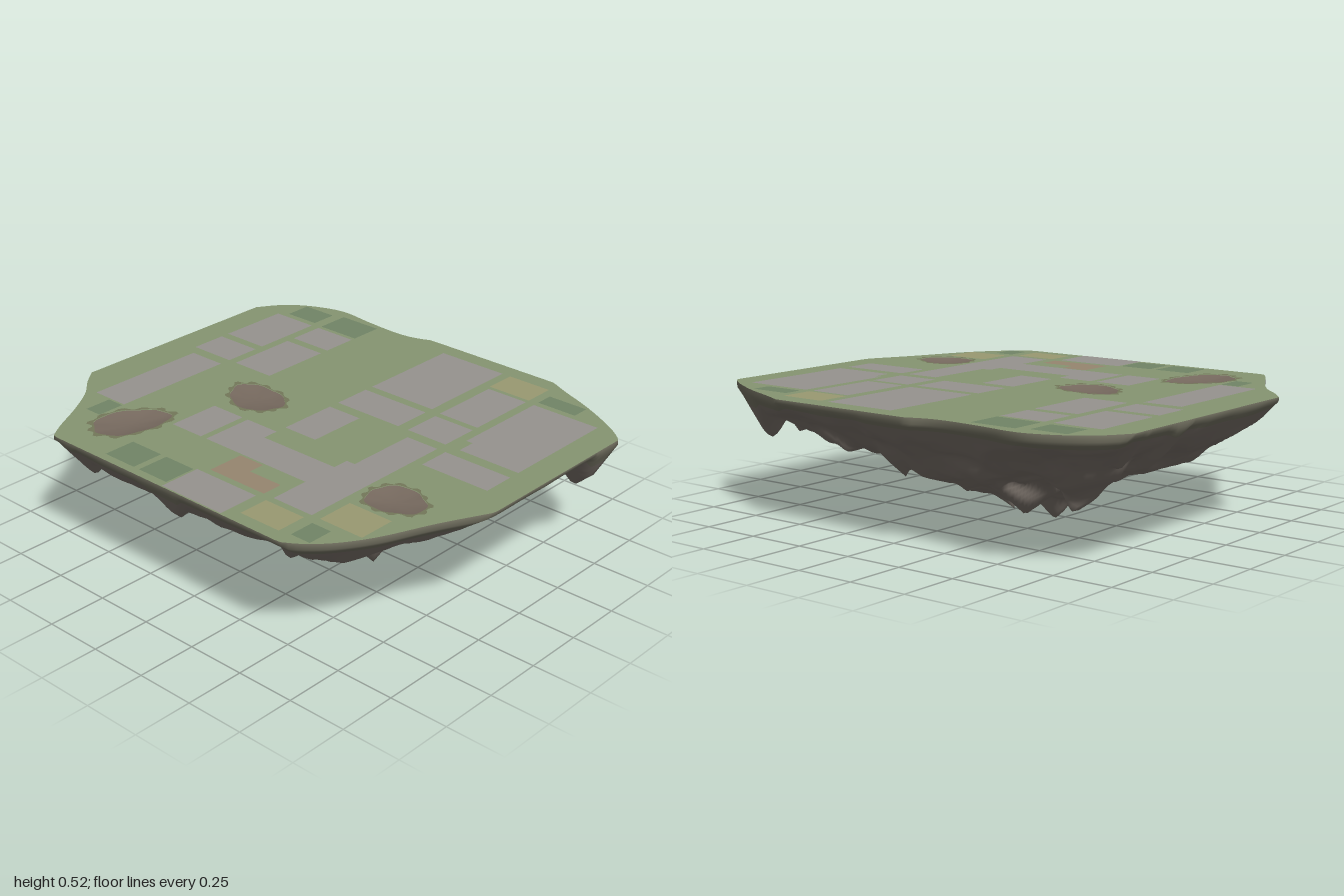
import * as THREE from 'three';
import { mergeGeometries } from 'three/addons/utils/BufferGeometryUtils.js';

const TOP = 0.517, SEG = 240, RINGS = 64;
const CENTRE = [0.03, -0.2];

// curved runs of the island outline as [x, z], clockwise from above, joined by straight edges
const RUNS = [
  [[0.62, -1], [0.72, -0.93], [0.79, -0.84], [0.84, -0.72], [0.85, -0.63], [0.835, -0.5], [0.825, -0.34],
    [0.835, -0.24], [0.865, -0.16]],
  [[0.865, 0.5], [0.825, 0.585], [0.77, 0.72], [0.71, 0.84], [0.65, 0.94], [0.6, 1]],
  [[-0.19, 1], [-0.39, 0.9], [-0.6, 0.81], [-0.73, 0.73], [-0.815, 0.65], [-0.865, 0.575]],
  [[-0.865, -0.65], [-0.79, -0.7], [-0.645, -0.78], [-0.525, -0.86], [-0.445, -0.94], [-0.37, -1]],
];

// lowest rock height across x and across z
const LOW_X = [[-0.87, 0.5], [-0.75, 0.33], [-0.57, 0.21], [-0.45, 0.19], [-0.3, 0.14], [-0.2, 0.06], [0.03, 0.02],
  [0.2, 0.08], [0.38, 0.14], [0.45, 0.15], [0.57, 0.2], [0.68, 0.32], [0.8, 0.41], [0.87, 0.5]];
const LOW_Z = [[-1, 0.5], [-0.95, 0.42], [-0.9, 0.37], [-0.8, 0.31], [-0.7, 0.23], [-0.55, 0.16], [-0.45, 0.1],
  [-0.22, 0.02], [0, 0.05], [0.1, 0.14], [0.25, 0.15], [0.4, 0.21], [0.55, 0.23], [0.75, 0.33], [0.9, 0.42], [1, 0.5]];

// hanging crags as [x, z, depth]
const CRAGS = [
  [0.03, -0.22, 0.52], [-0.2, -0.06, 0.48], [0.14, -0.08, 0.48], [0.33, -0.32, 0.44], [0.43, -0.62, 0.37],
  [-0.38, 0.23, 0.39], [-0.36, 0.46, 0.32], [-0.43, 0.62, 0.255], [-0.56, 0.37, 0.29], [-0.13, 0.53, 0.29],
  [0.2, 0.64, 0.22], [0.5, 0.72, 0.21], [0.56, 0.84, 0.24], [-0.68, -0.62, 0.23], [-0.58, -0.28, 0.29],
  [-0.75, -0.05, 0.19], [0.56, 0.1, 0.31], [0.3, -0.83, 0.21], [0.5, -0.85, 0.17], [-0.5, -0.15, 0.32],
];

function sample(table, v) {
  if (v <= table[0][0]) return table[0][1];
  for (let i = 1; i < table.length; i++) {
    const [a, ya] = table[i - 1], [b, yb] = table[i];
    if (v <= b) return ya + (yb - ya) * (v - a) / (b - a);
  }
  return table[table.length - 1][1];
}

// smooth value noise, 0 to 1
function noise(x, z) {
  const hash = (i, j) => { const s = Math.sin(i * 127.1 + j * 311.7) * 43758.5453; return s - Math.floor(s); };
  const i = Math.floor(x), j = Math.floor(z);
  const u = THREE.MathUtils.smoothstep(x - i, 0, 1), v = THREE.MathUtils.smoothstep(z - j, 0, 1);
  const lerp = THREE.MathUtils.lerp;
  return lerp(lerp(hash(i, j), hash(i + 1, j), u), lerp(hash(i, j + 1), hash(i + 1, j + 1), u), v);
}
const ridge = (x, z) => Math.abs(noise(x, z) * 2 - 1);

// depth of the rock below the top; rimGap is the distance left to the rim
function rockDepth(x, z, rimGap) {
  const a = TOP - sample(LOW_X, x), b = TOP - sample(LOW_Z, z);
  const body = (0.35 * Math.min(a, b) + 0.65 * a * b / TOP) * (1.02 - 0.18 * ridge(x * 4 + 7, z * 4 + 3) - 0.1 * ridge(x * 9, z * 9));
  let depth = Math.min(body, 0.025 + rimGap);
  for (const [cx, cz, d] of CRAGS) {
    const far = Math.hypot(x - cx, z - cz) * (0.8 + 0.6 * noise(x * 9 + 5, z * 9));
    depth = Math.max(depth, Math.min(d - far, 0.02 + 1.7 * rimGap));
  }
  return depth;
}

const shapeOf = pts => new THREE.Shape(pts.map(([x, z]) => new THREE.Vector2(x, -z)));
const flat = (shape, y) => new THREE.ShapeGeometry(shape).rotateX(-Math.PI / 2).translate(0, y, 0);

function addMesh(parent, name, geometry, color) {
  const mesh = new THREE.Mesh(geometry, new THREE.MeshStandardMaterial({ color }));
  mesh.name = name;
  parent.add(mesh);
}

// evenly spaced points around the outline
function rimPoints() {
  const outline = new THREE.Shape();
  outline.moveTo(-0.37, 1);
  for (const run of RUNS) {
    const [first, ...rest] = run.map(([x, z]) => new THREE.Vector2(x, -z));
    outline.lineTo(first.x, first.y);
    outline.splineThru(rest);
  }
  return outline.getSpacedPoints(SEG).slice(0, SEG).map(p => [p.x, -p.y]);
}

// rocky underside: rings growing from the deepest point out to the rim
function addRock(group, rim) {
  const pos = [], n = rim.length;
  for (let r = 0; r <= RINGS; r++) {
    const t = Math.min(1, r / (RINGS - 1));
    for (const [ex, ez] of rim) {
      const dx = ex - CENTRE[0], dz = ez - CENTRE[1];
      let x = CENTRE[0] + dx * t, z = CENTRE[1] + dz * t;
      const depth = r === RINGS ? 0 : rockDepth(x, z, (1 - t) * Math.hypot(dx, dz));
      // sideways shifts make crags and small overhangs
      const shift = 0.06 * Math.min(1, 3 * (1 - t)) * Math.min(1, t * 5);
      x += shift * (noise(x * 7 + 20, z * 7 + depth * 9) - 0.5);
      z += shift * (noise(x * 7 - 30, z * 7 + depth * 9) - 0.5);
      pos.push(x, Math.max(0, TOP - depth), z);
    }
  }
  const strip = (from, to) => {
    const index = [];
    for (let r = from; r < to; r++) for (let j = 0; j < n; j++) {
      const k = (j + 1) % n, a = r * n + j, b = r * n + k;
      index.push(a, a + n, b, b, a + n, b + n);
    }
    return index;
  };
  const whole = new THREE.BufferGeometry();
  whole.setAttribute('position', new THREE.Float32BufferAttribute(pos, 3));
  whole.setIndex(strip(0, RINGS));
  whole.computeVertexNormals();
  const band = whole.clone().setIndex(strip(RINGS - 3, RINGS));
  whole.setIndex(strip(0, RINGS - 3));
  addMesh(group, 'rockyUnderside', whole, 0x827971);
  addMesh(group, 'mossyRim', band, 0x7b7968);
}

// irregular closed loop around a crater; scale grows it, spike roughens it
function craterLoop({ x, z, rx, rz, turn }, scale, spike = 0) {
  return Array.from({ length: 48 }, (_, i) => {
    const a = i / 48 * Math.PI * 2;
    const k = scale * (1 + 0.06 * Math.sin(3 * a + x * 9) + 0.03 * Math.sin(7 * a)) + spike * (i % 4 < 2 ? 1 : 0);
    const u = Math.cos(a) * rx * k, v = Math.sin(a) * rz * k;
    return [x + u * Math.cos(turn) - v * Math.sin(turn), z + u * Math.sin(turn) + v * Math.cos(turn)];
  });
}

// shallow bowl under a crater opening
function bowlGeometry(crater) {
  const pos = [], index = [], steps = 6, n = 48;
  for (let r = 0; r <= steps; r++) {
    const t = r / steps;
    for (const [x, z] of craterLoop(crater, t)) pos.push(x, TOP - 0.012 * (1 - t * t), z);
  }
  for (let r = 0; r < steps; r++) for (let j = 0; j < n; j++) {
    const k = (j + 1) % n, a = r * n + j, b = r * n + k;
    index.push(a, b, a + n, b, b + n, a + n);
  }
  const g = new THREE.BufferGeometry();
  g.setAttribute('position', new THREE.Float32BufferAttribute(pos, 3));
  g.setIndex(index);
  g.computeVertexNormals();
  return g;
}

const CRATERS = [
  { x: -0.58, z: -0.52, rx: 0.16, rz: 0.105, turn: 0.35 },
  { x: -0.08, z: -0.31, rx: 0.1, rz: 0.14, turn: 0.25 },
  { x: -0.36, z: 0.68, rx: 0.1, rz: 0.12, turn: 0 },
];

// ground plots as [x0, z0, x1, z1]
const PLOTS = {
  pavedPlots: [0x97938f, [
    [-0.49, -0.83, 0.06, -0.66], [0.11, -0.87, 0.27, -0.66], [0.31, -0.87, 0.63, -0.66], [0.11, -0.62, 0.43, -0.42],
    [0.47, -0.62, 0.63, -0.42], [-0.48, -0.38, -0.25, -0.22], [-0.48, -0.19, -0.25, -0.03], [-0.86, -0.03, -0.68, 0.28],
    [-0.48, -0.03, -0.32, 0.34], [-0.2, -0.03, 0.06, 0.13], [0.11, -0.03, 0.28, 0.29], [0.32, -0.03, 0.79, 0.29],
    [-0.65, 0.34, -0.25, 0.53], [-0.25, 0.38, 0.06, 0.53], [0.11, 0.34, 0.28, 0.53], [0.31, 0.34, 0.63, 0.53],
    [-0.08, 0.57, 0.06, 0.88], [0.11, 0.6, 0.63, 0.88], [0.19, 0.57, 0.63, 0.6]]],
  shrubPlots: [0x728567, [
    [0.66, -0.83, 0.78, -0.67], [0.65, -0.62, 0.8, -0.42], [-0.83, -0.38, -0.69, -0.22], [-0.83, -0.19, -0.69, -0.04],
    [0.66, 0.57, 0.74, 0.75], [-0.8, 0.57, -0.69, 0.66], [-0.62, -0.74, -0.5, -0.66]]],
  sandPlots: [0x9a9a72, [[-0.81, 0.33, -0.68, 0.52], [0.65, 0.33, 0.79, 0.53], [-0.65, 0.57, -0.49, 0.77]]],
  clayPlots: [0x978670, [[-0.65, 0.01, -0.49, 0.13], [-0.65, 0.13, -0.56, 0.29]]],
};

export function createModel() {
  const group = new THREE.Group();
  group.name = 'floatingIsland';
  const rim = rimPoints();
  addRock(group, rim);

  // grass top, open over each crater
  const grass = shapeOf(rim);
  grass.holes = CRATERS.map(c => shapeOf(craterLoop(c, 1)));
  addMesh(group, 'grassTop', flat(grass, TOP), 0x869672);

  // plots lie just above the grass
  for (const [name, [color, rects]] of Object.entries(PLOTS)) {
    const parts = rects.map(([x0, z0, x1, z1]) => flat(shapeOf([[x0, z0], [x1, z0], [x1, z1], [x0, z1]]), TOP + 0.0015));
    addMesh(group, name, mergeGeometries(parts), color);
  }

  // craters with a scorched fringe
  CRATERS.forEach((c, i) => {
    addMesh(group, 'crater' + (i + 1), bowlGeometry(c), 0x776a5f);
    const fringe = shapeOf(craterLoop(c, 1.06, 0.12));
    fringe.holes = [shapeOf(craterLoop(c, 1))];
    addMesh(group, 'craterFringe' + (i + 1), flat(fringe, TOP + 0.0025), 0x74785a);
  });
  return group;
}
